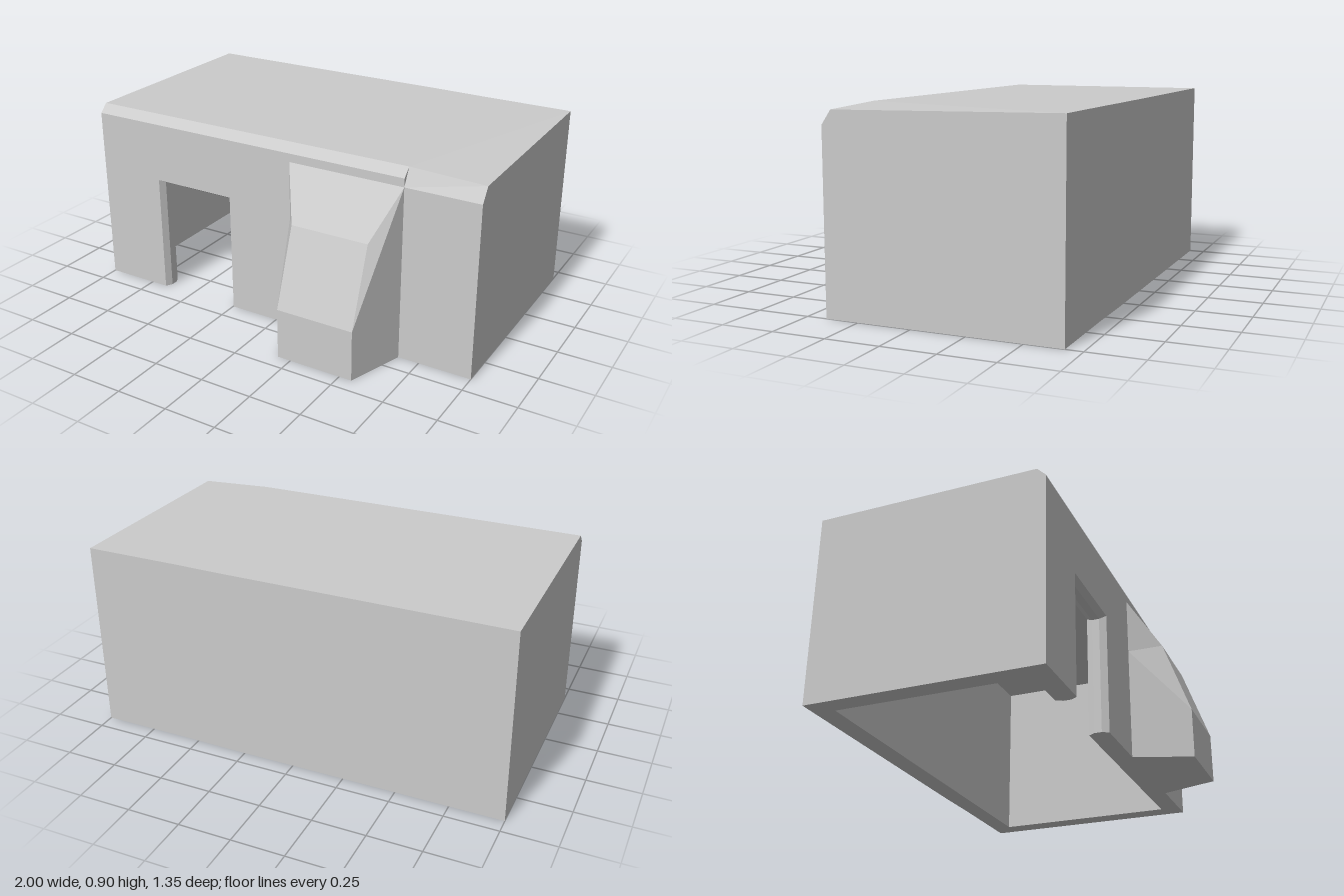
import * as THREE from 'three';
import { mergeGeometries } from 'three/addons/utils/BufferGeometryUtils.js';

const FRONT = 0.405, INNER_FRONT = 0.31, INNER_BACK = -0.58, INNER_X = 0.905, CEILING = 0.81;
const DOOR = { left: -0.665, right: -0.247, top: 0.58 };
// Door reveal: [z, inset], bevelled on both faces of the wall
const REVEAL = [[FRONT, 0], [0.375, 0.018], [0.34, 0.018], [INNER_FRONT, 0]];

const material = new THREE.MeshStandardMaterial({ color: 0xcccccc, flatShading: true });
const openMaterial = new THREE.MeshStandardMaterial({ color: 0xcccccc, flatShading: true, side: THREE.DoubleSide });

function fromTriangles(points) {
  const g = new THREE.BufferGeometry();
  g.setAttribute('position', new THREE.Float32BufferAttribute(points.flat(), 3));
  g.computeVertexNormals();
  return g;
}

// Flat convex face
function face(p) {
  const t = [];
  for (let i = 1; i < p.length - 1; i++) t.push(p[0], p[i], p[i + 1]);
  return fromTriangles(t);
}

// Skin between successive open cross-sections
function loft(sections) {
  const t = [];
  for (let i = 0; i < sections.length - 1; i++) {
    for (let j = 0; j < sections[i].length - 1; j++) {
      const [a, b, c, d] = [sections[i][j], sections[i + 1][j], sections[i + 1][j + 1], sections[i][j + 1]];
      t.push(a, b, c, a, c, d);
    }
  }
  return fromTriangles(t);
}

const flatShape = (pts) => new THREE.ShapeGeometry(new THREE.Shape(pts.map(([x, y]) => new THREE.Vector2(x, y))));

function mesh(name, geometries, mat = material) {
  const m = new THREE.Mesh(mergeGeometries(geometries), mat);
  m.name = name;
  return m;
}

// Wall panel with the doorway cut up from its lower edge
function doorWall(halfWidth, upperEdge, z) {
  return flatShape([
    [-halfWidth, 0], [DOOR.left, 0], [DOOR.left, DOOR.top], [DOOR.right, DOOR.top],
    [DOOR.right, 0], [halfWidth, 0], ...upperEdge,
  ]).translate(0, 0, z);
}

export function createModel() {
  const group = new THREE.Group();

  // Roof and back: [x, chamfer foot y, front edge y, front edge z, back z]
  const stations = [
    [-1, 0.865, 0.905, 0.365, -0.677],
    [0.32, 0.865, 0.905, 0.365, -0.677],
    [0.55, 0.865, 0.905, 0.365, -0.673],
    [0.65, 0.865, 0.905, 0.365, -0.673],
    [0.65, 0.825, 0.905, 0.365, -0.673],
    [1, 0.825, 0.89, 0.36, -0.673],
  ];
  const sections = stations.map(([x, foot, y, z, back]) =>
    [[x, foot, FRONT], [x, y, z], [x, 0.905, back], [x, 0, back]]);
  group.add(mesh('roofAndBackWall', [loft(sections)], openMaterial));

  // Outer end walls
  const last = sections.length - 1;
  group.add(mesh('rightEndWall', [face([[-1, 0, FRONT], ...sections[0]])]));
  group.add(mesh('leftEndWall', [face([[1, 0, FRONT], ...sections[last]].reverse())]));

  // Front wall, outside and inside
  group.add(mesh('frontWall',
    [doorWall(1, [[1, 0.825], [0.65, 0.825], [0.65, 0.865], [-1, 0.865]], FRONT)], openMaterial));
  group.add(mesh('innerFrontWall',
    [doorWall(INNER_X, [[INNER_X, CEILING], [-INNER_X, CEILING]], INNER_FRONT)], openMaterial));

  // Door surround
  group.add(mesh('doorReveal', [loft(REVEAL.map(([z, inset]) => [
    [DOOR.left + inset, 0, z], [DOOR.left + inset, DOOR.top - inset, z],
    [DOOR.right - inset, DOOR.top - inset, z], [DOOR.right - inset, 0, z],
  ]))], openMaterial));

  // Room interior
  const room = [-INNER_X, INNER_X].map((x) => [
    [x, 0, INNER_BACK], [x, CEILING, INNER_BACK], [x, CEILING, INNER_FRONT], [x, 0, INNER_FRONT],
  ]);
  const ceiling = loft(room.map((s) => s.slice(0, 3)));
  group.add(mesh('roomInterior', [ceiling, face(room[0]), face([...room[1]].reverse())]));

  // Underside of the walls, interrupted at the doorway
  const rim = flatShape([
    [1, FRONT], [1, -0.673], [0.55, -0.673], [0.32, -0.677], [-1, -0.677], [-1, FRONT],
    ...REVEAL.map(([z, inset]) => [DOOR.left + inset, z]),
    [-INNER_X, INNER_FRONT], [-INNER_X, INNER_BACK], [INNER_X, INNER_BACK], [INNER_X, INNER_FRONT],
    ...[...REVEAL].reverse().map(([z, inset]) => [DOOR.right - inset, z]),
  ]).rotateX(Math.PI / 2);
  group.add(mesh('wallUnderside', [rim]));

  // Tapered buttress against the front wall
  const atWall = (x) => [[x, 0, FRONT], [x, 0.55, FRONT], [x, 0.825, FRONT], [x, 0.825, FRONT]];
  const atNose = (x, wallX) => [[x, 0, 0.677], [x, 0.24, 0.677], [x, 0.6, 0.55], [wallX, 0.825, FRONT]];
  const buttress = [atWall(0.085), atNose(0.185, 0.085), atNose(0.56, 0.65), atWall(0.65)];
  group.add(mesh('buttress', [loft(buttress), face(buttress.map((s) => s[0]).reverse())]));

  return group;
}
